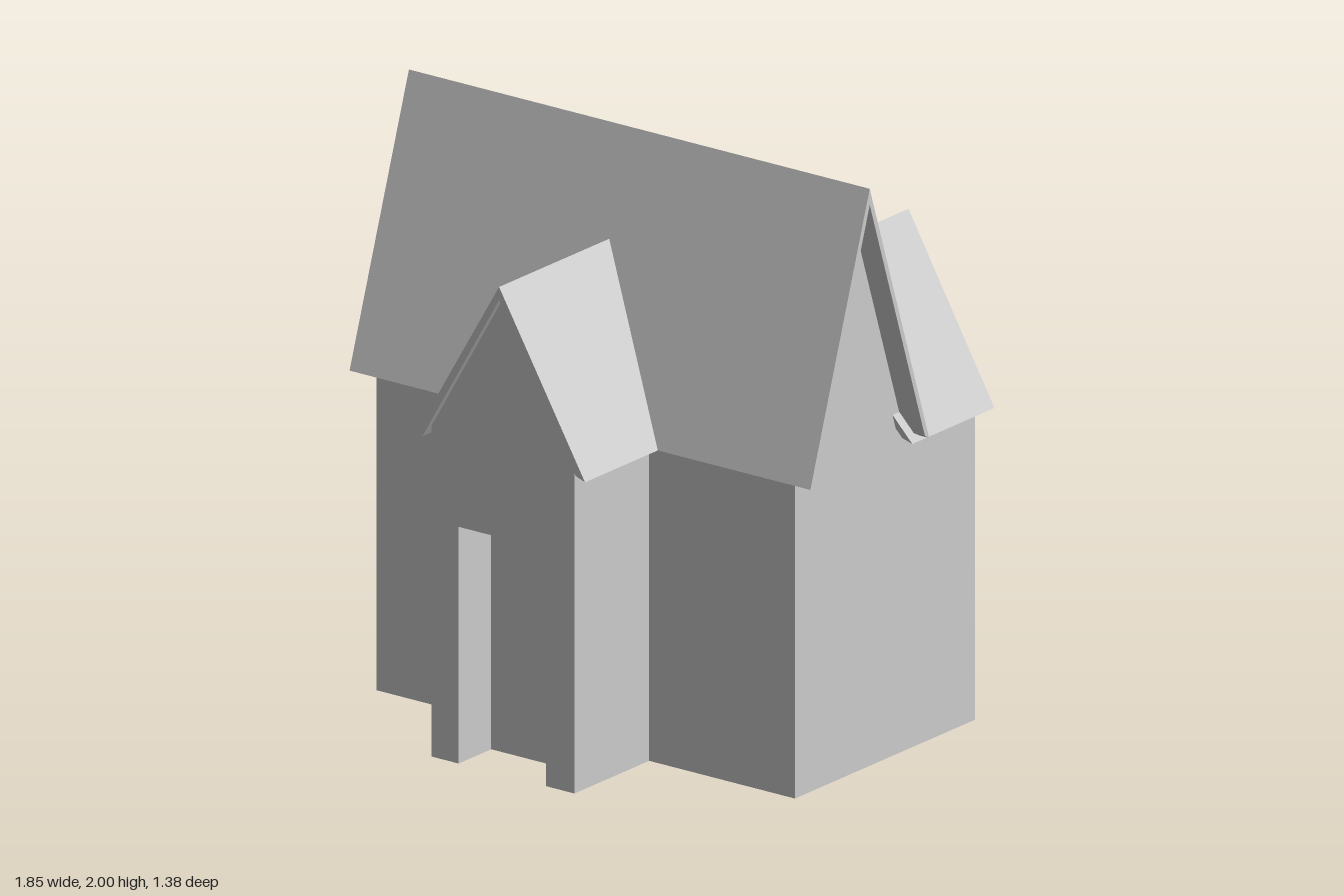
import * as THREE from 'three';

const material = new THREE.MeshStandardMaterial({
  color: 0xcccccc, flatShading: true, side: THREE.DoubleSide,
});

const WALL_TOP = 1.07;

function part(name, geometry) {
  const mesh = new THREE.Mesh(geometry, material);
  mesh.name = name;
  return mesh;
}

function polygon(points) {
  return new THREE.Shape(points.map(([x, y]) => new THREE.Vector2(x, y)));
}

// Vertical wall strip along a plan path of [x, z] points
function wallStrip(path, height) {
  const pos = [];
  for (let i = 0; i + 1 < path.length; i++) {
    const [ax, az] = path[i], [bx, bz] = path[i + 1];
    pos.push(bx, 0, bz, ax, 0, az, ax, height, az);
    pos.push(bx, 0, bz, ax, height, az, bx, height, bz);
  }
  const g = new THREE.BufferGeometry();
  g.setAttribute('position', new THREE.Float32BufferAttribute(pos, 3));
  g.computeVertexNormals();
  return g;
}

// Extrude a section along z, with each end placed by a rule of height
function extrudeBetween(points, back, front) {
  const g = new THREE.ExtrudeGeometry(polygon(points), { depth: 1, bevelEnabled: false });
  const p = g.attributes.position;
  for (let i = 0; i < p.count; i++) {
    p.setZ(i, p.getZ(i) < 0.5 ? back(p.getY(i)) : front);
  }
  g.computeVertexNormals();
  return g;
}

// Pitched roof: thin folded slab plus the solid gable beneath it
function gabledRoof(name, o) {
  const group = new THREE.Group();
  group.name = name;
  const innerX = o.half - o.lip, innerY = o.eave + 0.013, innerApex = o.apex - o.thick;
  const slab = [
    [-o.half, o.eave], [-innerX, innerY], [0, innerApex],
    [innerX, innerY], [o.half, o.eave], [0, o.apex],
  ];
  const shoulder = innerApex - (innerApex - innerY) * o.wallHalf / innerX - 0.002;
  const gable = [
    [-o.wallHalf, WALL_TOP], [o.wallHalf, WALL_TOP], [o.wallHalf, shoulder],
    [0, innerApex - 0.002], [-o.wallHalf, shoulder],
  ];
  group.add(part('roofSlab', extrudeBetween(slab, o.roofBack, o.roofEnd)));
  group.add(part('gable', extrudeBetween(gable, o.gableBack, o.gableEnd)));
  return group;
}

// Wing roofs end just under the slope of the main roof
const underMainRoof = (y) => 0.26 - (y - 1.06) / 3;

function wingRoof(name, x, eave, wallHalf, wallEnd) {
  return gabledRoof(name, {
    half: 0.345, lip: 0.037, eave, apex: 1.655, thick: 0.045, wallHalf,
    roofBack: underMainRoof, roofEnd: 0.69,
    gableBack: underMainRoof, gableEnd: wallEnd,
  }).translateX(x);
}

export function createModel() {
  const model = new THREE.Group();
  model.name = 'house';

  // Walls: main block, front porch and two rear wings, open underneath
  const outline = [
    [-0.32, 0.67], [-0.32, 0.28], [-0.84, 0.28], [-0.84, -0.66],
    [-0.26, -0.66], [-0.26, -0.28], [0.26, -0.28], [0.26, -0.66],
    [0.84, -0.66], [0.84, 0.28], [0.255, 0.28], [0.255, 0.67],
  ];
  model.add(part('walls', wallStrip(outline, WALL_TOP)));

  const ceiling = new THREE.ShapeGeometry(polygon(outline.map(([x, z]) => [x, -z])));
  ceiling.rotateX(-Math.PI / 2).translate(0, WALL_TOP, 0);
  model.add(part('ceiling', ceiling));

  // Porch front with a doorway cut into it
  const front = new THREE.ShapeGeometry(polygon([
    [-0.32, 0], [-0.21, 0], [-0.21, 0.8], [0.14, 0.8],
    [0.14, 0], [0.255, 0], [0.255, WALL_TOP], [-0.32, WALL_TOP],
  ]));
  model.add(part('porchFront', front.translate(0, 0, 0.67)));

  // Recessed doorway
  const recess = [[0.14, 0.67], [0.14, 0.5], [-0.21, 0.5], [-0.21, 0.67]];
  model.add(part('doorRecess', wallStrip(recess, 0.8)));
  const lintel = new THREE.PlaneGeometry(0.35, 0.17).rotateX(Math.PI / 2);
  model.add(part('doorLintel', lintel.translate(-0.035, 0.8, 0.585)));

  // Main roof, ridge running along x
  const main = gabledRoof('mainRoof', {
    half: 0.31, lip: 0.022, eave: 1.07, apex: 2, thick: 0.055, wallHalf: 0.28,
    roofBack: () => -0.925, roofEnd: 0.925,
    gableBack: () => -0.84, gableEnd: 0.84,
  });
  main.rotation.y = Math.PI / 2;
  model.add(main);

  // Porch roof and the two rear wing roofs
  model.add(wingRoof('porchRoof', -0.0325, 1.07, 0.2875, 0.67));
  for (const side of [-1, 1]) {
    const roof = wingRoof(side > 0 ? 'leftWingRoof' : 'rightWingRoof', side * 0.55, 1.057, 0.29, 0.66);
    roof.rotation.y = Math.PI;
    model.add(roof);
  }
  return model;
}
